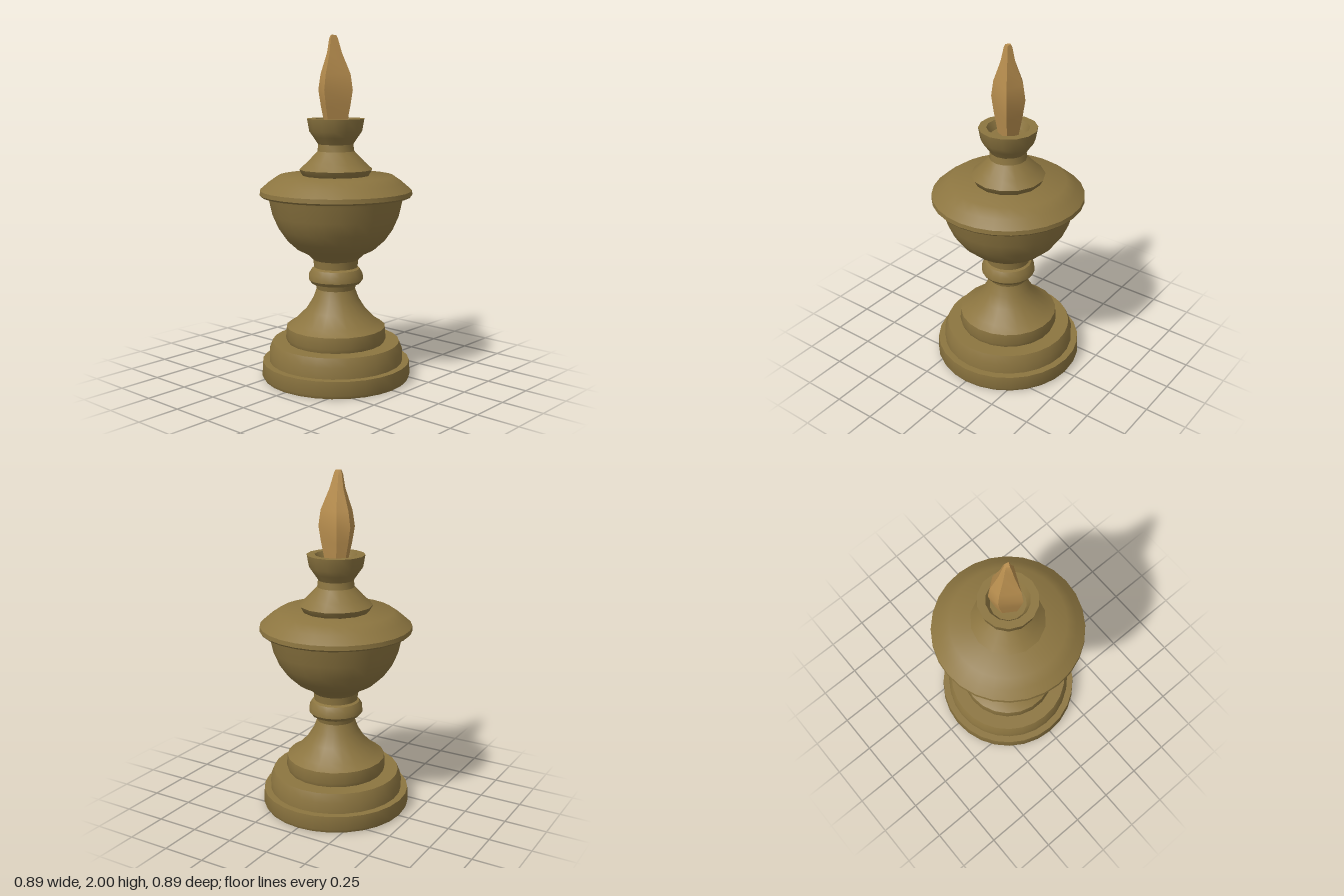
import * as THREE from 'three';
import { toCreasedNormals } from 'three/addons/utils/BufferGeometryUtils.js';

const bronze = new THREE.MeshStandardMaterial({ color: 0x8c7540 });
bronze.name = 'aged bronze';
const amber = new THREE.MeshStandardMaterial({ color: 0xb98f4f });
amber.name = 'amber flame';

// Turned part from a bottom-to-top [radius, height] profile
function turned(name, profile, sides) {
  const points = profile.map(([r, y]) => new THREE.Vector2(r, y));
  const geometry = toCreasedNormals(new THREE.LatheGeometry(points, sides), 0.6);
  const mesh = new THREE.Mesh(geometry, bronze);
  mesh.name = name;
  return mesh;
}

// Faceted flame: one irregular outline scaled at each level
function flame() {
  const outline = [[0.05, 0.085], [0.08, -0.05], [0.03, -0.11], [-0.04, -0.1], [-0.11, 0.01]];
  const levels = [ // height, scale, x shift, z shift
    [1.47, 0.6, 0, 0], [1.6, 0.86, 0, 0], [1.69, 1, 0, 0], [1.78, 0.87, 0, 0],
    [1.9, 0.43, -0.005, -0.005], [1.98, 0.25, -0.008, -0.01], [2, 0.16, -0.008, -0.01]
  ];
  const n = outline.length;
  const positions = [];
  const index = [];
  for (const [y, s, dx, dz] of levels)
    for (const [x, z] of outline) positions.push(x * s + dx, y, z * s + dz);
  for (let i = 0; i < levels.length - 1; i++) {
    for (let j = 0; j < n; j++) {
      const a = i * n + j, b = i * n + (j + 1) % n;
      index.push(a, b, a + n, b, b + n, a + n);
    }
  }
  // Close the tip and the foot
  const top = (levels.length - 1) * n;
  for (let j = 1; j < n - 1; j++) {
    index.push(top, top + j, top + j + 1);
    index.push(0, j + 1, j);
  }
  const geometry = new THREE.BufferGeometry();
  geometry.setAttribute('position', new THREE.Float32BufferAttribute(positions, 3));
  geometry.setIndex(index);
  const mesh = new THREE.Mesh(toCreasedNormals(geometry, 0.6), amber);
  mesh.name = 'flame';
  return mesh;
}

export function createModel() {
  const group = new THREE.Group();
  group.name = 'flame urn';
  group.add(
    turned('basePlinth', [[0, 0], [0.43, 0], [0.44, 0.02], [0.435, 0.1], [0, 0.1]], 28),
    turned('baseStep', [[0, 0.09], [0.395, 0.09], [0.395, 0.165], [0.375, 0.215], [0, 0.215]], 28),
    turned('pedestal', [
      [0, 0.205], [0.285, 0.21], [0.297, 0.24], [0.292, 0.305], [0.245, 0.335], [0.175, 0.405],
      [0.135, 0.47], [0.113, 0.53], [0.125, 0.575], [0, 0.575]
    ], 22),
    turned('stemRing', [
      [0.1, 0.56], [0.145, 0.565], [0.16, 0.585], [0.158, 0.62], [0.14, 0.65], [0.1, 0.665]
    ], 18),
    turned('bowl', [
      [0.1, 0.655], [0.128, 0.66], [0.133, 0.705], [0.17, 0.74], [0.23, 0.77], [0.29, 0.825],
      [0.335, 0.89], [0.37, 0.97], [0.39, 1.06], [0.4, 1.09]
    ], 24),
    turned('bowlRim', [
      [0.36, 1.08], [0.435, 1.08], [0.444, 1.09], [0.442, 1.115], [0.39, 1.16], [0.335, 1.198], [0, 1.203]
    ], 28),
    turned('neckAndCup', [
      [0.18, 1.19], [0.195, 1.2], [0.214, 1.235], [0.17, 1.275], [0.108, 1.34], [0.103, 1.38],
      [0.13, 1.42], [0.155, 1.455], [0.168, 1.527], [0.122, 1.527], [0.1, 1.48], [0, 1.475]
    ], 14),
    flame()
  );
  return group;
}
